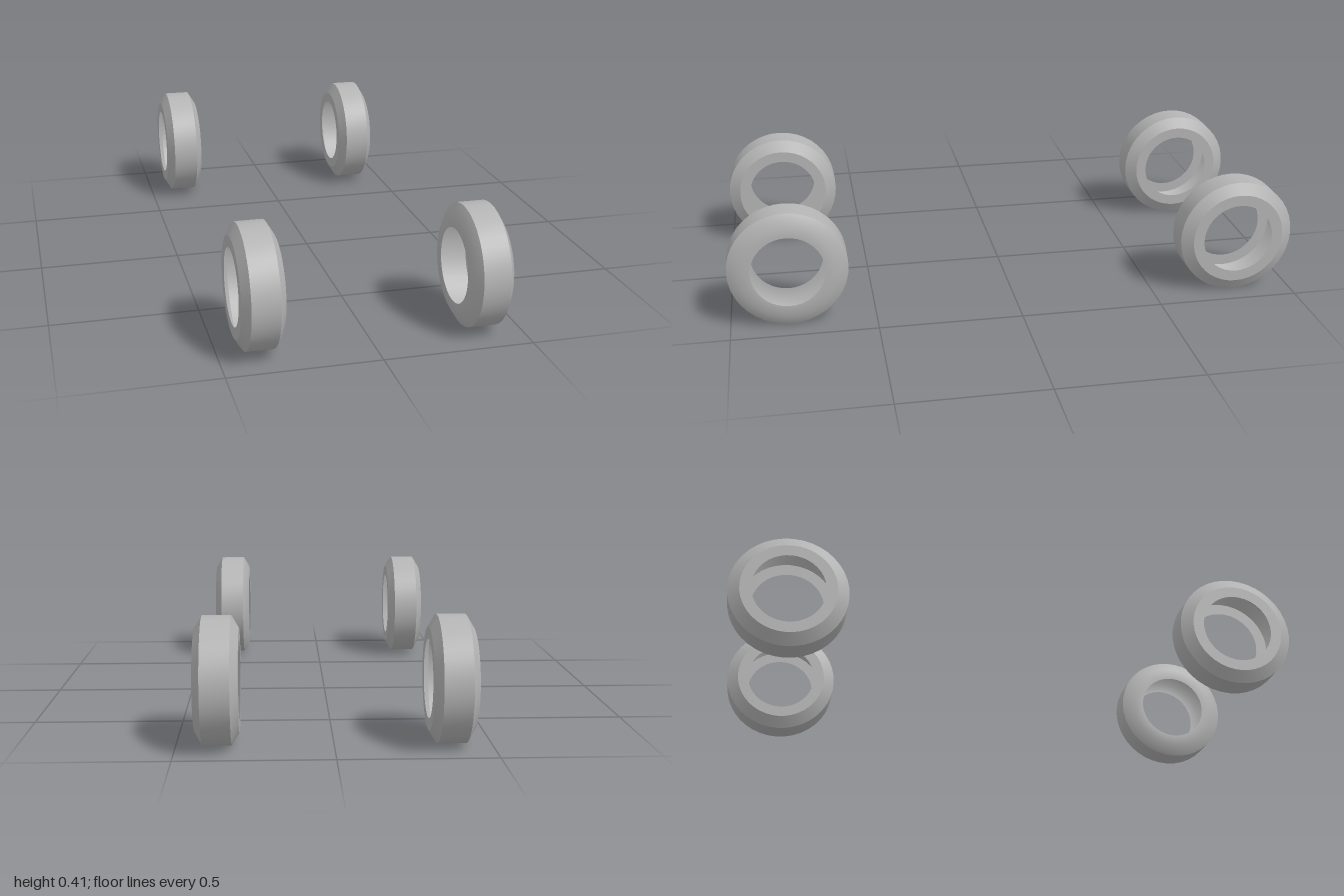
import * as THREE from 'three';
import { toCreasedNormals } from 'three/addons/utils/BufferGeometryUtils.js';

const rubber = new THREE.MeshStandardMaterial({ color: 0xb4b4b4, side: THREE.DoubleSide });
rubber.name = 'greyRubber';

// Hollow tyre shell: sidewall, shoulder, tread, shoulder, sidewall; axle along x
function tyreGeometry(creaseDegrees) {
  const profile = [
    [0.126, -0.07], [0.165, -0.07], [0.205, -0.046],
    [0.205, 0.046], [0.165, 0.07], [0.126, 0.07],
  ].map(([r, h]) => new THREE.Vector2(r, h));
  const lathe = new THREE.LatheGeometry(profile, 40);
  lathe.rotateZ(-Math.PI / 2);
  return toCreasedNormals(lathe, THREE.MathUtils.degToRad(creaseDegrees));
}

export function createModel() {
  const model = new THREE.Group();
  model.name = 'tyreSet';

  const sharp = tyreGeometry(25); // every edge crisp
  const soft = tyreGeometry(40);  // shoulder blends into sidewall

  for (const [end, z] of [['front', 0.795], ['rear', -0.795]]) {
    for (const [side, x] of [['Left', 0.368], ['Right', -0.37]]) {
      const tyre = new THREE.Mesh(end === 'front' && side === 'Left' ? soft : sharp, rubber);
      tyre.name = `${end}${side}Tyre`;
      tyre.position.set(x, 0.205, z);
      model.add(tyre);
    }
  }
  return model;
}
